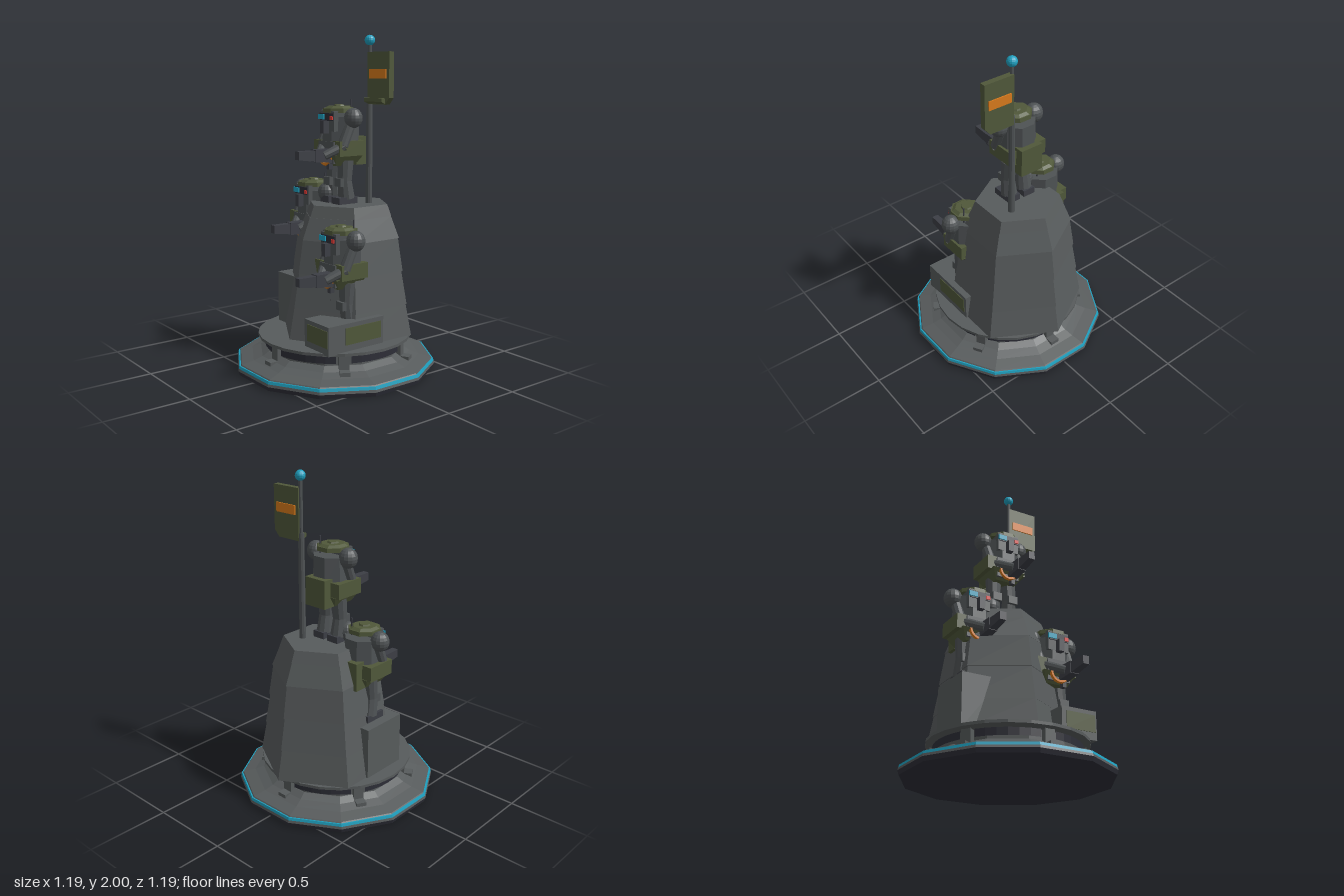
import * as THREE from 'three';

const paint = (name, color) => {
  const m = new THREE.MeshStandardMaterial({ color, flatShading: true });
  m.name = name;
  return m;
};

export function createModel() {
  const stone = paint('stone grey', 0x575b5c);
  const armour = paint('armour grey', 0x4e5254);
  const dark = paint('dark recess', 0x2d2e37);
  const gunmetal = paint('gunmetal', 0x3c3e45);
  const olive = paint('olive', 0x50583a);
  const orange = paint('orange', 0xd87a1c);
  const cyan = paint('cyan', 0x1fa0bf);
  const red = paint('red', 0xdc3a34);

  const model = new THREE.Group();
  model.name = 'monument';

  const add = (parent, name, geo, mat, x = 0, y = 0, z = 0) => {
    const m = new THREE.Mesh(geo, mat);
    m.name = name;
    m.position.set(x, y, z);
    parent.add(m);
    return m;
  };
  const box = (w, h, d) => new THREE.BoxGeometry(w, h, d);
  // Frustum between two heights; turn rotates its corners about y
  const frustum = (parent, name, mat, y0, y1, r0, r1, sides, turn = 0, x = 0, z = 0) =>
    add(parent, name, new THREE.CylinderGeometry(r1, r0, y1 - y0, sides, 1, false, turn), mat, x, (y0 + y1) / 2, z);
  // Round bar between two points
  const bar = (parent, name, mat, a, b, r0, r1 = r0) => {
    const p = new THREE.Vector3(...a), q = new THREE.Vector3(...b);
    const m = add(parent, name, new THREE.CylinderGeometry(r1, r0, p.distanceTo(q), 10), mat);
    m.position.copy(p).add(q).multiplyScalar(0.5);
    m.quaternion.setFromUnitVectors(new THREE.Vector3(0, 1, 0), q.sub(p).normalize());
    return m;
  };
  // Box whose front end (+z) is narrowed and lifted
  const taperedBox = (w, h, d, sx, sy) => {
    const g = box(w, h, d), p = g.attributes.position;
    for (let i = 0; i < p.count; i++) {
      if (p.getZ(i) > 0) {
        p.setX(i, p.getX(i) * sx);
        if (p.getY(i) < 0) p.setY(i, p.getY(i) * sy);
      }
    }
    return g;
  };

  // Twelve-sided plinth
  const plinth = new THREE.Group();
  plinth.name = 'plinth';
  model.add(plinth);
  const T = Math.PI / 12;
  frustum(plinth, 'bottomLip', dark, 0, 0.025, 0.608, 0.616, 12, T);
  frustum(plinth, 'lowerRim', stone, 0.025, 0.04, 0.616, 0.612, 12, T);
  frustum(plinth, 'lightBand', cyan, 0.04, 0.056, 0.612, 0.608, 12, T);
  [[0.056, 0.062, 0.6, 0.595], [0.062, 0.08, 0.595, 0.52], [0.08, 0.1, 0.52, 0.465], [0.1, 0.125, 0.465, 0.425],
    [0.125, 0.188, 0.42, 0.42]]
    .forEach(([y0, y1, r0, r1], i) => frustum(plinth, 'plinthTier' + i, stone, y0, y1, r0, r1, 12, T));
  frustum(plinth, 'plinthCapUnderside', stone, 0.183, 0.195, 0.43, 0.465, 24);
  frustum(plinth, 'plinthCap', stone, 0.195, 0.212, 0.468, 0.468, 24);
  for (let i = 0; i < 6; i++) {
    const a = Math.PI / 2 + i * Math.PI / 3, half = 0.42;
    // Recessed dark panel following the drum
    add(plinth, 'drumPanel', new THREE.CylinderGeometry(0.427, 0.427, 0.045, 6, 1, true, a - half, half * 2), dark, 0, 0.162, 0);
    // Buttress between two panels
    const b = a + Math.PI / 6;
    const post = add(plinth, 'buttress', box(0.06, 0.085, 0.04), stone, Math.sin(b) * 0.42, 0.145, Math.cos(b) * 0.42);
    post.rotation.y = b;
    const foot = add(plinth, 'buttressFoot', box(0.06, 0.035, 0.05), stone, Math.sin(b) * 0.465, 0.09, Math.cos(b) * 0.465);
    foot.rotation.y = b;
  }

  // Six-sided rock tower in slightly stepped courses
  const tower = new THREE.Group();
  tower.name = 'tower';
  model.add(tower);
  [[0.21, 0.4, 0.425, 0.388], [0.4, 0.6, 0.392, 0.356], [0.6, 0.8, 0.362, 0.33], [0.8, 0.93, 0.334, 0.282], [0.93, 1, 0.282, 0.255]]
    .forEach(([y0, y1, r0, r1], i) => frustum(tower, 'towerCourse' + i, stone, y0, y1, r0, r1, 6, 0, 0, -0.09 - 0.003 * i));

  // Ledges carrying the two lower figures
  add(tower, 'rightLedge', box(0.25, 0.32, 0.3), stone, -0.255, 0.37, 0.01);
  add(tower, 'leftLedge', box(0.23, 0.17, 0.4), stone, 0.265, 0.29, 0.13);
  add(tower, 'ledgeSidePatch', box(0.006, 0.1, 0.26), olive, 0.381, 0.3, 0.08);
  add(tower, 'ledgeFrontPatch', box(0.19, 0.1, 0.006), olive, 0.275, 0.3, 0.331);

  // Armoured figure, feet at y = 0, facing +z
  const figure = (name, x, y, z) => {
    const f = new THREE.Group();
    f.name = name;
    f.position.set(x, y, z);
    model.add(f);
    for (const s of [-1, 1]) {
      add(f, 'boot', box(0.08, 0.04, 0.14), gunmetal, s * 0.055, 0.02, 0);
      bar(f, 'shin', armour, [s * 0.055, 0.03, -0.015], [s * 0.055, 0.14, 0], 0.05, 0.042);
      add(f, 'kneePad', box(0.06, 0.05, 0.03), armour, s * 0.055, 0.13, 0.04);
      bar(f, 'thigh', armour, [s * 0.055, 0.13, 0], [s * 0.05, 0.26, -0.01], 0.042, 0.05);
      const shoulder = add(f, 'shoulderGuard', new THREE.SphereGeometry(0.06, 14, 10), armour, s * 0.125, 0.515, -0.01);
      shoulder.scale.set(0.95, 1, 0.9);
      bar(f, 'upperArm', armour, [s * 0.105, 0.49, -0.01], [s * 0.1, 0.35, 0.05], 0.033);
      bar(f, 'forearm', armour, [s * 0.1, 0.35, 0.04], [0.03 + s * 0.025, 0.295, 0.15], 0.032, 0.026);
    }
    // Waist armour and backpack
    add(f, 'waistArmour', box(0.26, 0.09, 0.19), olive, -0.01, 0.335, -0.01);
    frustum(f, 'hipArmour', olive, 0.23, 0.295, 0.1, 0.155, 4, Math.PI / 4, -0.005, 0);
    add(f, 'backpack', box(0.15, 0.17, 0.08), olive, 0, 0.315, -0.115);
    add(f, 'beltFront', box(0.15, 0.13, 0.02), armour, -0.005, 0.31, 0.085);
    const belt = add(f, 'beltRing', new THREE.TorusGeometry(0.055, 0.012, 6, 14, Math.PI), orange, -0.005, 0.295, 0.1);
    belt.rotation.z = Math.PI;
    // Torso
    frustum(f, 'torso', armour, 0.36, 0.52, 0.115, 0.11, 8, Math.PI / 8, 0, -0.015);
    // Head and helmet
    add(f, 'face', box(0.14, 0.12, 0.1), armour, 0, 0.495, 0.04);
    add(f, 'breather', box(0.035, 0.075, 0.045), gunmetal, 0, 0.46, 0.105);
    add(f, 'visorPlate', box(0.13, 0.045, 0.008), dark, 0, 0.52, 0.092);
    add(f, 'cyanEye', box(0.055, 0.03, 0.009), cyan, -0.045, 0.52, 0.098);
    add(f, 'redEye', box(0.026, 0.022, 0.009), red, 0.052, 0.515, 0.098);
    frustum(f, 'helmetBrim', olive, 0.545, 0.57, 0.1, 0.098, 8, Math.PI / 8);
    frustum(f, 'helmetDome', olive, 0.57, 0.583, 0.09, 0.07, 8, Math.PI / 8);
    frustum(f, 'helmetCrown', olive, 0.583, 0.592, 0.035, 0.03, 8, Math.PI / 8);
    bar(f, 'antenna', gunmetal, [0.055, 0.5, -0.05], [0.055, 0.625, -0.05], 0.005);
    // Weapon held across the waist
    add(f, 'weaponBody', taperedBox(0.065, 0.085, 0.16, 0.85, 0.7), gunmetal, 0.025, 0.29, 0.13);
    add(f, 'weaponBarrel', taperedBox(0.05, 0.065, 0.12, 0.8, 0.5), gunmetal, 0.025, 0.295, 0.265);
    add(f, 'weaponGrip', box(0.025, 0.06, 0.03), gunmetal, 0.025, 0.24, 0.09);
    return f;
  };
  figure('topFigure', -0.02, 1.0, -0.05);
  figure('rightFigure', -0.235, 0.54, -0.015);
  figure('leftFigure', 0.22, 0.32, 0.12);

  // Banner on its pole
  const banner = new THREE.Group();
  banner.name = 'banner';
  banner.position.set(0.108, 0, -0.18);
  model.add(banner);
  frustum(banner, 'poleBase', armour, 1.0, 1.64, 0.02, 0.018, 10);
  frustum(banner, 'pole', armour, 1.64, 1.95, 0.012, 0.012, 10);
  add(banner, 'poleFinial', new THREE.SphereGeometry(0.031, 14, 10), cyan, 0, 1.969, 0);
  const shape = new THREE.Shape([[0, 1.595], [0.16, 1.595], [0.195, 1.635], [0.195, 1.9], [0, 1.9]]
    .map(([x, y]) => new THREE.Vector2(x, y)));
  add(banner, 'flag', new THREE.ExtrudeGeometry(shape, { depth: 0.036, bevelEnabled: false }), olive, 0, 0, -0.02);
  add(banner, 'flagHem', taperedBox(0.16, 0.035, 0.03, 1, 0.2), olive, 0.08, 1.615, 0.028);
  for (const z of [-0.023, 0.019]) add(banner, 'flagStripe', box(0.15, 0.055, 0.008), orange, 0.097, 1.772, z);

  return model;
}
